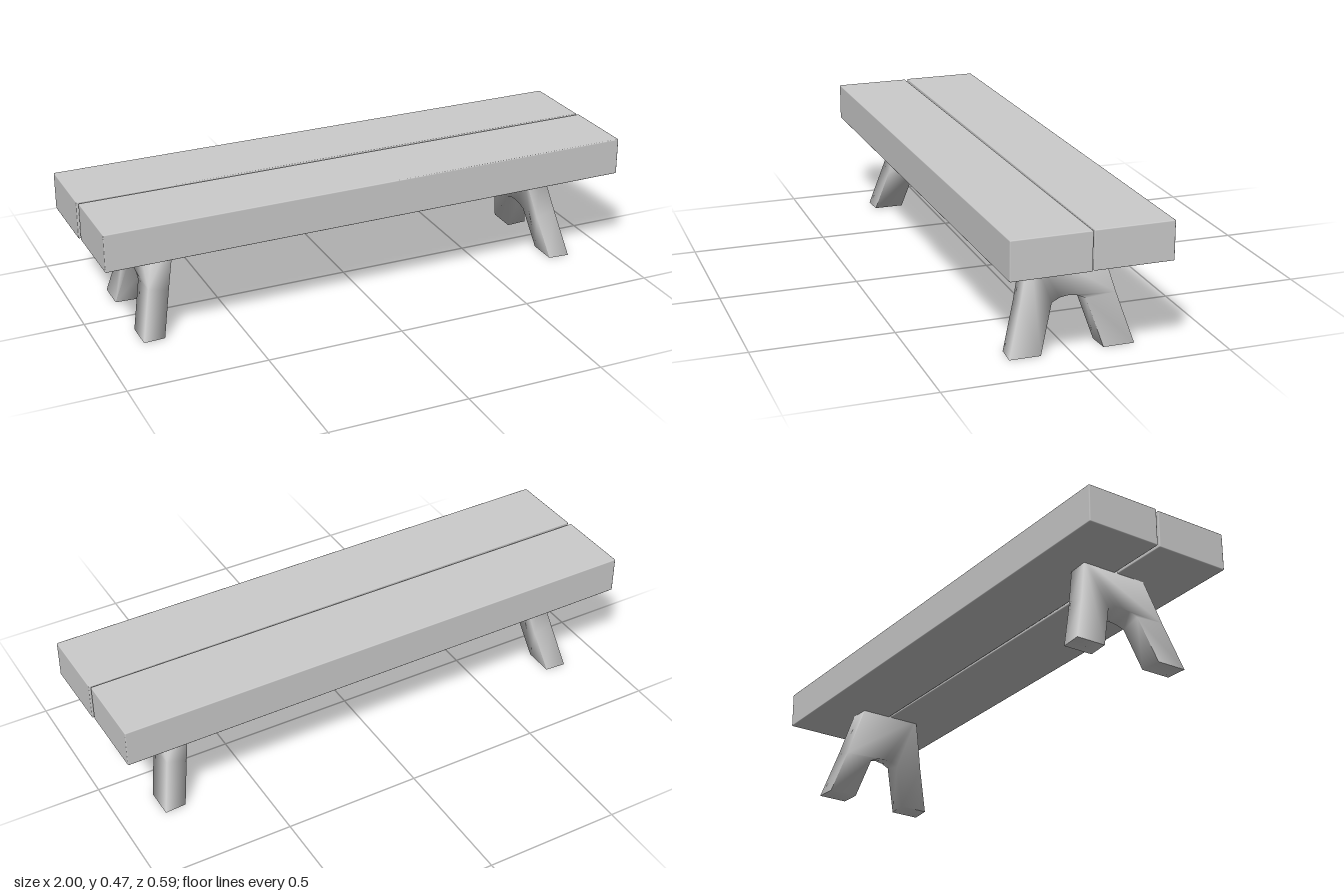
import * as THREE from 'three';
import { toCreasedNormals } from 'three/addons/utils/BufferGeometryUtils.js';
import { RoundedBoxGeometry } from 'three/addons/geometries/RoundedBoxGeometry.js';

const material = new THREE.MeshStandardMaterial({ color: 0xcccccc });

// Thick seat plank with a tiny edge bevel, laid slightly askew
function plank(name, x, z, turn) {
  const mesh = new THREE.Mesh(new RoundedBoxGeometry(1.988, 0.138, 0.28, 1, 0.004), material);
  mesh.name = name;
  mesh.position.set(x, 0.403, z);
  mesh.rotation.y = turn;
  return mesh;
}

// Arched trestle board that leans outward toward +x, with feet cut flat on the ground
function trestleGeometry() {
  const half = [[0.218, 0], [0.168, 0.165], [0.119, 0.35]];
  const arch = [[0.108, 0], [0.06, 0.157], [0.03, 0.17]];
  const mirror = ([z, y]) => [-z, y];
  const outline = [
    ...half,
    ...half.map(mirror).reverse(),
    ...arch.map(mirror),
    [0, 0.174],
    ...[...arch].reverse(),
  ];
  const shape = new THREE.Shape(outline.map(([z, y]) => new THREE.Vector2(z, y)));
  const geometry = new THREE.ExtrudeGeometry(shape, { depth: 2, bevelEnabled: false });
  geometry.translate(0, 0, -1);
  geometry.rotateY(Math.PI / 2);

  const p = geometry.attributes.position;
  for (let i = 0; i < p.count; i++) {
    const side = p.getX(i); // -1 inner face, +1 outer face
    const rise = side * 0.009;
    let y = p.getY(i);
    let z = p.getZ(i);
    // The board is cut square to its lean; feet and top slide along their edges instead
    if (y < 0.001) z += Math.sign(z) * 0.3 * rise;
    else if (y < 0.34) y += rise;
    else z += Math.sign(z) * 0.26 * rise;
    p.setXYZ(i, 0.807 - 0.232 * y + side * 0.039, y, z);
  }
  return toCreasedNormals(geometry, 1.65);
}

export function createModel() {
  const bench = new THREE.Group();
  bench.name = 'bench';

  bench.add(
    plank('frontPlank', 0.002, 0.142, 0.0103),
    plank('backPlank', -0.005, -0.146, 0.0075)
  );

  const geometry = trestleGeometry();
  for (const [name, turn] of [['leftTrestle', 0], ['rightTrestle', Math.PI]]) {
    const leg = new THREE.Mesh(geometry, material);
    leg.name = name;
    leg.position.set(-0.003, 0, -0.005);
    leg.rotation.y = turn;
    bench.add(leg);
  }
  return bench;
}
